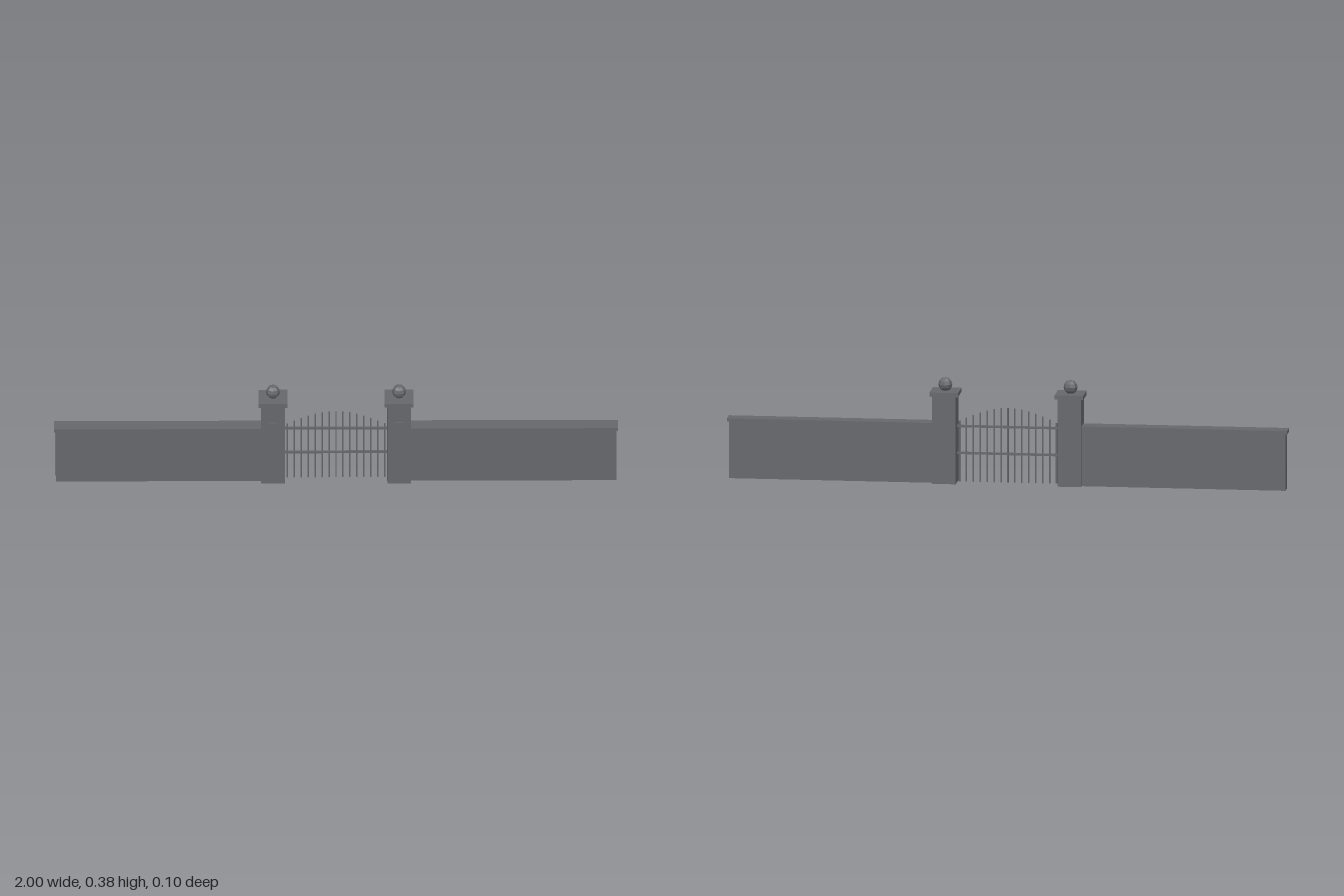
import * as THREE from 'three';

export function createModel() {
  const model = new THREE.Group();
  model.name = 'gatedWall';
  const stone = new THREE.MeshStandardMaterial({ color: 0x66676b, flatShading: true });
  stone.name = 'grey stone and iron';

  const add = (parent, name, geometry, x, y, z = 0) => {
    const mesh = new THREE.Mesh(geometry, stone);
    mesh.name = name;
    mesh.position.set(x, y, z);
    parent.add(mesh);
    return mesh;
  };
  // Box given by its bottom and top heights
  const block = (parent, name, x, y0, y1, w, d, z = 0) =>
    add(parent, name, new THREE.BoxGeometry(w, y1 - y0, d), x, (y0 + y1) / 2, z);

  for (const side of [-1, 1]) {
    const label = side > 0 ? 'left' : 'right';

    // Wall with a slightly wider coping
    const wall = new THREE.Group();
    wall.name = label + 'Wall';
    block(wall, 'wallBody', side * 0.628, 0, 0.205, 0.73, 0.045);
    block(wall, 'wallCoping', side * 0.632, 0.205, 0.217, 0.736, 0.059);
    model.add(wall);

    // Gate pillar with cap, faceted ball and front plaque
    const pillar = new THREE.Group();
    pillar.name = label + 'Pillar';
    pillar.position.x = side * 0.2235;
    block(pillar, 'pillarShaft', 0, 0, 0.316, 0.084, 0.084);
    block(pillar, 'pillarCap', 0, 0.316, 0.331, 0.102, 0.102);
    add(pillar, 'ballFinial', new THREE.SphereGeometry(0.025, 8, 6), 0, 0.353);
    block(pillar, 'plaque', 0, 0.213, 0.251, 0.03, 0.008, 0.045);
    model.add(pillar);
  }

  // Iron gate: upright bars rising to an arch, tied by two rails
  const gate = new THREE.Group();
  gate.name = 'gate';
  const bars = 15;
  for (let i = 0; i < bars; i++) {
    const t = (2 * i) / (bars - 1) - 1;
    const top = 0.222 + 0.05 * Math.cos((t * Math.PI) / 2);
    add(gate, 'gateBar', new THREE.CylinderGeometry(0.003, 0.003, top - 0.003, 6), t * 0.173, (top + 0.003) / 2);
  }
  for (const y of [0.106, 0.203]) block(gate, 'gateRail', 0, y - 0.004, y + 0.004, 0.364, 0.007);
  model.add(gate);

  return model;
}
